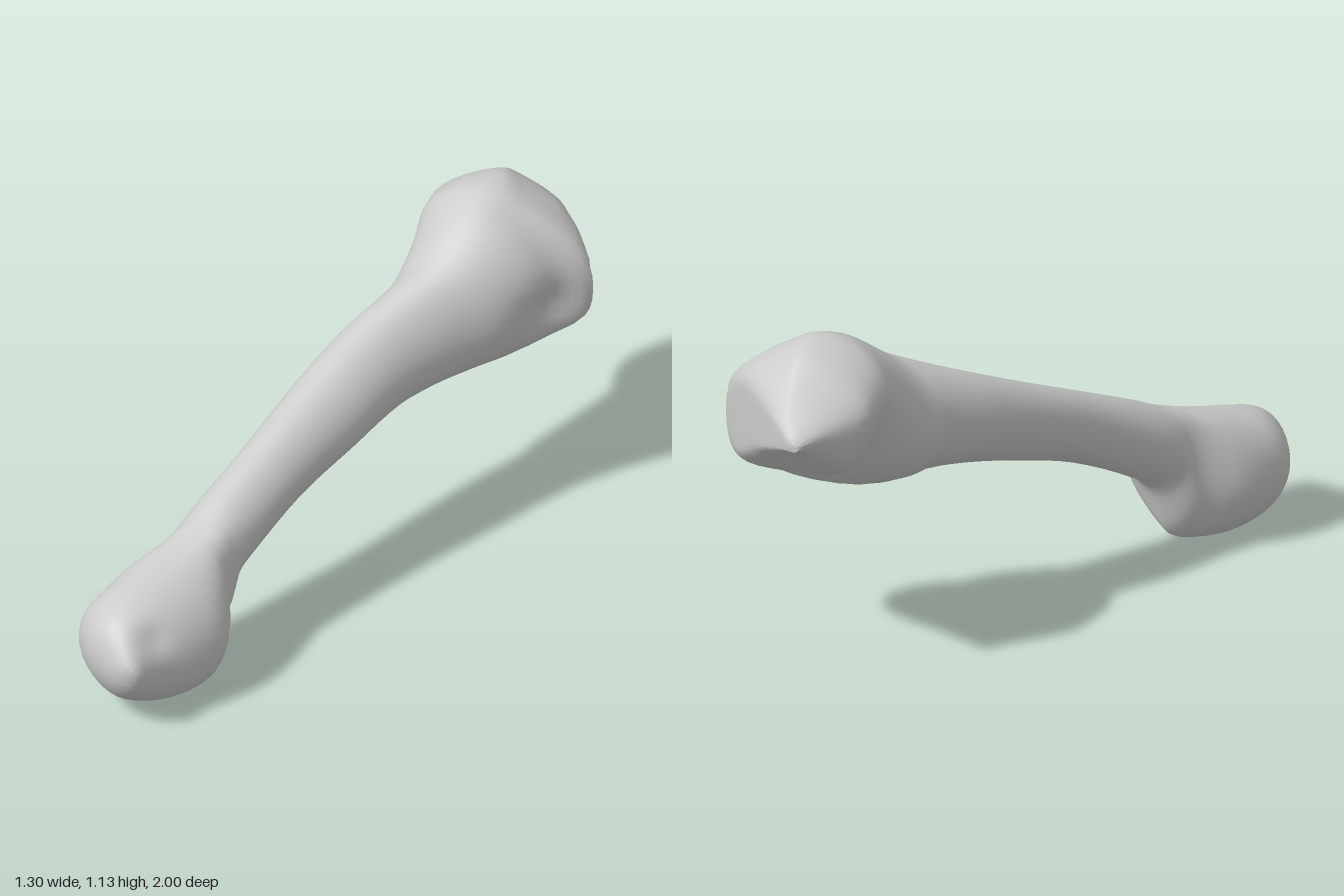
import * as THREE from 'three';
import { toCreasedNormals } from 'three/addons/utils/BufferGeometryUtils.js';

// Cross-sections along z: [z, xMin, xMax, yMin, yMax, skew, wedge]
// wedge > 0: pointed above and square below, wedge < 0: the reverse
const HEAD = [
  [1.0, -0.47, -0.41, 0.205, 0.275, 0, 0],
  [0.985, -0.5, -0.395, 0.17, 0.3, -0.05, 0],
  [0.95, -0.55, -0.375, 0.12, 0.34, -0.1, 0],
  [0.9, -0.605, -0.34, 0.075, 0.38, -0.1, 0],
  [0.81, -0.65, -0.26, 0.02, 0.415, -0.1, 0],
  [0.71, -0.625, -0.2, 0, 0.442, -0.08, 0],
  [0.63, -0.575, -0.2, 0.015, 0.465, 0, -0.15],
];
const NECK = [
  [0.56, -0.495, -0.22, 0.042, 0.49, 0.1, -0.35],
  [0.525, -0.465, -0.212, 0.085, 0.505, 0.12, -0.4],
  [0.49, -0.445, -0.2, 0.215, 0.522, 0.1, -0.2],
];
const SHAFT = [
  [0.42, -0.41, -0.17, 0.285, 0.56, 0.05, 0],
  [0.2, -0.29, -0.06, 0.41, 0.665, -0.05, 0],
  [0, -0.20, 0.06, 0.48, 0.76, -0.1, 0],
  [-0.2, -0.1, 0.18, 0.535, 0.86, -0.08, 0],
];
const BASE = [
  [-0.34, -0.015, 0.31, 0.55, 0.935, 0, 0],
  [-0.42, 0.015, 0.41, 0.545, 0.985, 0.1, 0],
  [-0.52, 0.05, 0.51, 0.55, 1.065, 0, 0.05],
  [-0.6, 0.07, 0.575, 0.58, 1.11, -0.18, 0.15],
  [-0.66, 0.075, 0.655, 0.63, 1.13, -0.3, 0.25],
  [-0.74, 0.075, 0.63, 0.66, 1.13, -0.22, 0.4],
  [-0.81, 0.08, 0.58, 0.715, 1.105, -0.1, 0.5],
  [-0.87, 0.125, 0.51, 0.77, 1.05, 0, 0.5],
  [-0.94, 0.19, 0.42, 0.825, 0.96, 0, 0.4],
  [-1.0, 0.24, 0.29, 0.86, 0.89, 0, 0.2],
];

const SIDES = 36;
const STEPS = 4;

// Smooth interpolation of whole section rows
function refine(rows) {
  const out = [];
  const at = (i) => rows[Math.min(Math.max(i, 0), rows.length - 1)];
  for (let i = 0; i < rows.length - 1; i++) {
    for (let s = 0; s < STEPS; s++) {
      const f = s / STEPS;
      out.push(rows[i].map((p1, k) => {
        const p2 = rows[i + 1][k];
        if (k === 0) return p1 + (p2 - p1) * f;
        // tangents scaled by z spacing so uneven sections stay smooth
        const slope = (a, b) => (b[k] - a[k]) / (b[0] - a[0]);
        const dz = rows[i + 1][0] - rows[i][0];
        const m1 = slope(at(i - 1), at(i + 1)) * dz;
        const m2 = slope(at(i), at(i + 2)) * dz;
        const f2 = f * f, f3 = f2 * f;
        return (2 * f3 - 3 * f2 + 1) * p1 + (f3 - 2 * f2 + f) * m1 + (3 * f2 - 2 * f3) * p2 + (f3 - f2) * m2;
      }));
    }
  }
  out.push(rows[rows.length - 1]);
  return out;
}

// Shallow hollows: centre, reach, and push direction
const HOLLOWS = [
  { c: new THREE.Vector3(0.53, 0.76, -0.55), r: 0.08, d: new THREE.Vector3(-0.03, 0, -0.025) },
  { c: new THREE.Vector3(-0.38, 0.33, 0.9), r: 0.05, d: new THREE.Vector3(0, -0.01, -0.02) },
];

// Slanted, slightly bulging joint face that cuts the base, with a softened rim
function trimToFace(x, z) {
  const u = z + 1;
  const limit = 0.275 + u * 1.13 + 0.03 * Math.sin(Math.PI * Math.min(1, u / 0.32));
  return (x + limit - Math.hypot(x - limit, 0.02)) / 2;
}

const signedPower = (value, p) => Math.sign(value) * Math.abs(value) ** p;

function boneGeometry() {
  const rings = refine([...HEAD, ...NECK, ...SHAFT, ...BASE]);
  const pos = [], index = [];
  const v = new THREE.Vector3();
  for (const [z, x0, x1, y0, y1, skew, wedge] of rings) {
    for (let j = 0; j < SIDES; j++) {
      const t = (j / SIDES) * Math.PI * 2;
      const up = Math.sin(t + skew);
      const p = 1 + wedge * up;
      const x = (x0 + x1) / 2 + ((x1 - x0) / 2) * signedPower(Math.cos(t), p);
      const y = (y0 + y1) / 2 + ((y1 - y0) / 2) * signedPower(up, p);
      v.set(trimToFace(x, z), y, z);
      for (const h of HOLLOWS) {
        v.addScaledVector(h.d, Math.exp(-v.distanceToSquared(h.c) / (h.r * h.r)));
      }
      pos.push(v.x, v.y, v.z);
    }
  }
  const n = rings.length;
  for (let i = 0; i < n - 1; i++) {
    for (let j = 0; j < SIDES; j++) {
      const a = i * SIDES + j, b = i * SIDES + ((j + 1) % SIDES);
      const c = a + SIDES, d = b + SIDES;
      index.push(a, c, b, b, c, d);
    }
  }
  // end caps
  for (const [ring, front] of [[0, true], [n - 1, false]]) {
    const [z, x0, x1, y0, y1] = rings[ring];
    const centre = pos.length / 3;
    pos.push(trimToFace((x0 + x1) / 2, z), (y0 + y1) / 2, z);
    for (let j = 0; j < SIDES; j++) {
      const a = ring * SIDES + j, b = ring * SIDES + ((j + 1) % SIDES);
      index.push(centre, front ? a : b, front ? b : a);
    }
  }
  const geo = new THREE.BufferGeometry();
  geo.setAttribute('position', new THREE.Float32BufferAttribute(pos, 3));
  geo.setIndex(index);
  return toCreasedNormals(geo, 1.0);
}

export function createModel() {
  const group = new THREE.Group();
  group.name = 'longBone';
  const bone = new THREE.Mesh(boneGeometry(), new THREE.MeshStandardMaterial({ color: 0xcccccc }));
  bone.name = 'bone';
  group.add(bone);
  return group;
}
